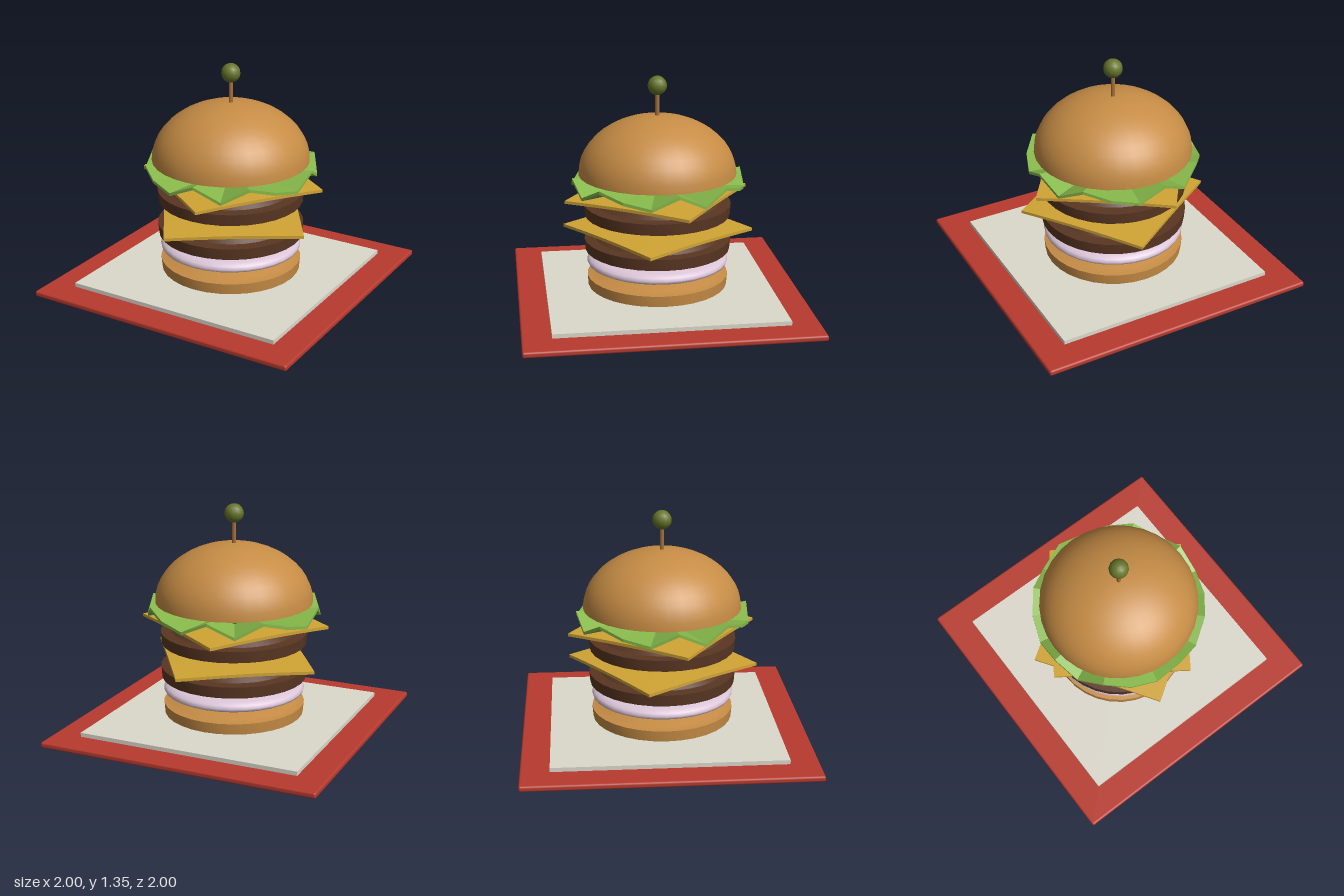
import * as THREE from 'three';
import { toCreasedNormals } from 'three/addons/utils/BufferGeometryUtils.js';
import { RoundedBoxGeometry } from 'three/addons/geometries/RoundedBoxGeometry.js';

function mat(name, color) {
  const m = new THREE.MeshStandardMaterial({ color });
  m.name = name;
  return m;
}

export function createModel() {
  const model = new THREE.Group();
  model.name = 'burgerOnTray';

  const red = mat('trayRed', 0xb83a2e);
  const paper = mat('paperCream', 0xdcd8cc);
  const bun = mat('bunBrown', 0xc68c45);
  const meat = mat('pattyBrown', 0x593622);
  const cheese = mat('cheeseYellow', 0xd0a434);
  const green = mat('lettuceGreen', 0x86b84a);
  const onion = mat('onionLilac', 0xdcc6d8);
  const olive = mat('oliveGreen', 0x66752a);
  const wood = mat('stickWood', 0xa8713c);
  const tomato = mat('tomatoRed', 0xa83222);

  function add(name, geometry, material, x = 0, y = 0, z = 0, turn = 0) {
    const mesh = new THREE.Mesh(geometry, material);
    mesh.name = name;
    mesh.position.set(x, y, z);
    mesh.rotation.y = turn;
    model.add(mesh);
    return mesh;
  }

  // Turned part from a profile of [radius, height], bottom to top
  function turned(profile, sides = 32, crease = 0.5) {
    const points = profile.map(([r, y]) => new THREE.Vector2(r, y));
    return toCreasedNormals(new THREE.LatheGeometry(points, sides), crease);
  }

  // Square slice whose corners droop
  function cheeseSlice(size, thickness, droop) {
    const g = new THREE.BoxGeometry(size, thickness, size, 8, 1, 8);
    const p = g.attributes.position;
    const reach = size * Math.SQRT1_2;
    for (let i = 0; i < p.count; i++) {
      const r = Math.hypot(p.getX(i), p.getZ(i)) / reach;
      p.setY(i, p.getY(i) - droop * r);
    }
    return toCreasedNormals(g, 0.5);
  }

  // Leaf with a wavy rim; the wave repeats every quarter turn
  function lettuceLeaf(radius, thickness) {
    const wave = [-0.005, 0.067, -0.01, 0.067, 0.025];
    const g = new THREE.CylinderGeometry(radius, radius, thickness, 20, 1);
    const p = g.attributes.position;
    for (let i = 0; i < p.count; i++) {
      const x = p.getX(i), z = p.getZ(i);
      if (Math.hypot(x, z) < 0.01) continue;
      const k = Math.round(Math.atan2(x, z) / (Math.PI / 10)) + 20;
      p.setY(i, p.getY(i) + wave[k % 5]);
    }
    return toCreasedNormals(g, 0.01);
  }

  // Tray and paper
  add('tray', new RoundedBoxGeometry(1.697, 0.035, 1.697, 2, 0.012), red, 0, 0.0175, 0, 0.2);
  add('paper', new THREE.BoxGeometry(1.357, 0.025, 1.357), paper, 0, 0.0475, 0, 0.2);

  // Bottom bun
  add('bottomBun', turned([
    [0, 0.062], [0.33, 0.062], [0.42, 0.08], [0.425, 0.145], [0.365, 0.15], [0.23, 0.213], [0, 0.213],
  ]), bun);

  // Onion slice
  add('onionSlice', turned([
    [0, 0.21], [0.4, 0.21], [0.42, 0.22], [0.425, 0.235], [0.415, 0.252], [0.385, 0.266], [0, 0.266],
  ], 32, 0.9), onion);

  // Two patties, each with a cheese slice
  const pattyShape = turned([
    [0, 0], [0.32, 0], [0.435, 0.012], [0.44, 0.08], [0.375, 0.083], [0.32, 0.125], [0, 0.125],
  ]);
  const sliceShape = cheeseSlice(0.806, 0.018, 0.026);
  [[0.295, Math.PI / 4], [0.508, -0.4]].forEach(([y, turn], i) => {
    const level = i ? 'upper' : 'lower';
    add(level + 'Patty', pattyShape, meat, 0, y);
    add(level + 'Cheese', sliceShape, cheese, 0, y + 0.157, 0, turn);
  });

  // Lettuce, pickles and tomato
  add('lettuce', lettuceLeaf(0.515, 0.018), green, 0, 0.695);
  for (let i = 0; i < 4; i++) {
    const a = (i + 0.5) * Math.PI / 2;
    add('pickle', new THREE.CylinderGeometry(0.1, 0.1, 0.016, 16), olive,
      0.17 * Math.sin(a), 0.71, 0.17 * Math.cos(a));
  }
  add('tomato', new THREE.CylinderGeometry(0.36, 0.36, 0.02, 32), tomato, 0, 0.761);

  // Domed top bun
  const dome = [[0, 0.768]];
  for (let i = 0; i <= 12; i++) {
    const a = i / 12 * Math.PI / 2;
    dome.push([Math.max(0, 0.47 * Math.cos(a)), 0.77 + 0.35 * Math.sin(a)]);
  }
  add('topBun', turned(dome), bun);

  // Stick and olive
  add('stick', new THREE.CylinderGeometry(0.012, 0.012, 0.35, 10), wood, 0, 1.1);
  add('olive', new THREE.SphereGeometry(0.057, 12, 10), olive, 0, 1.297);

  return model;
}
